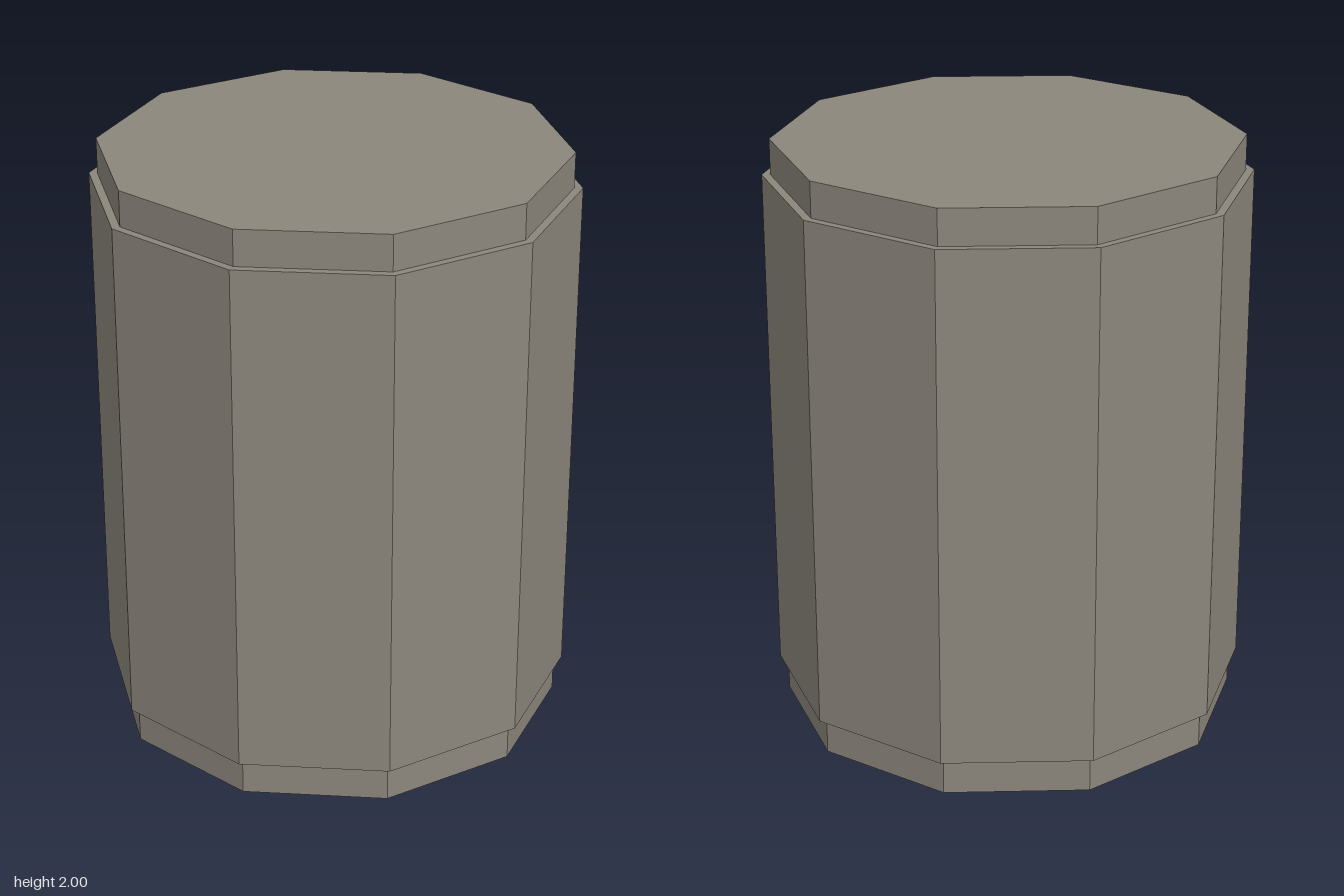
import * as THREE from 'three';

const SIDES = 10;
const BODY_R = 0.8, CAP_R = 0.772;
const LOW = 0.125, HIGH = 1.88, TOP = 2;

export function createModel() {
  const model = new THREE.Group();
  model.name = 'facetedDrum';
  const material = new THREE.MeshStandardMaterial({ color: 0x8c867c, flatShading: true });

  // Ten-sided part turned from a profile of [radius, height] pairs, bottom to top
  const turned = (name, profile) => {
    const points = profile.map(([r, y]) => new THREE.Vector2(r, y));
    const mesh = new THREE.Mesh(new THREE.LatheGeometry(points, SIDES), material);
    mesh.name = name;
    model.add(mesh);
  };

  // Base plinth, closed underneath
  turned('base', [[0, 0], [CAP_R, 0], [CAP_R, LOW]]);

  // Main drum with its narrow ledges
  turned('body', [[CAP_R, LOW], [BODY_R, LOW], [BODY_R, HIGH], [CAP_R, HIGH]]);

  // Raised lid, closed on top
  turned('lid', [[CAP_R, HIGH], [CAP_R, TOP], [0, TOP]]);

  return model;
}
